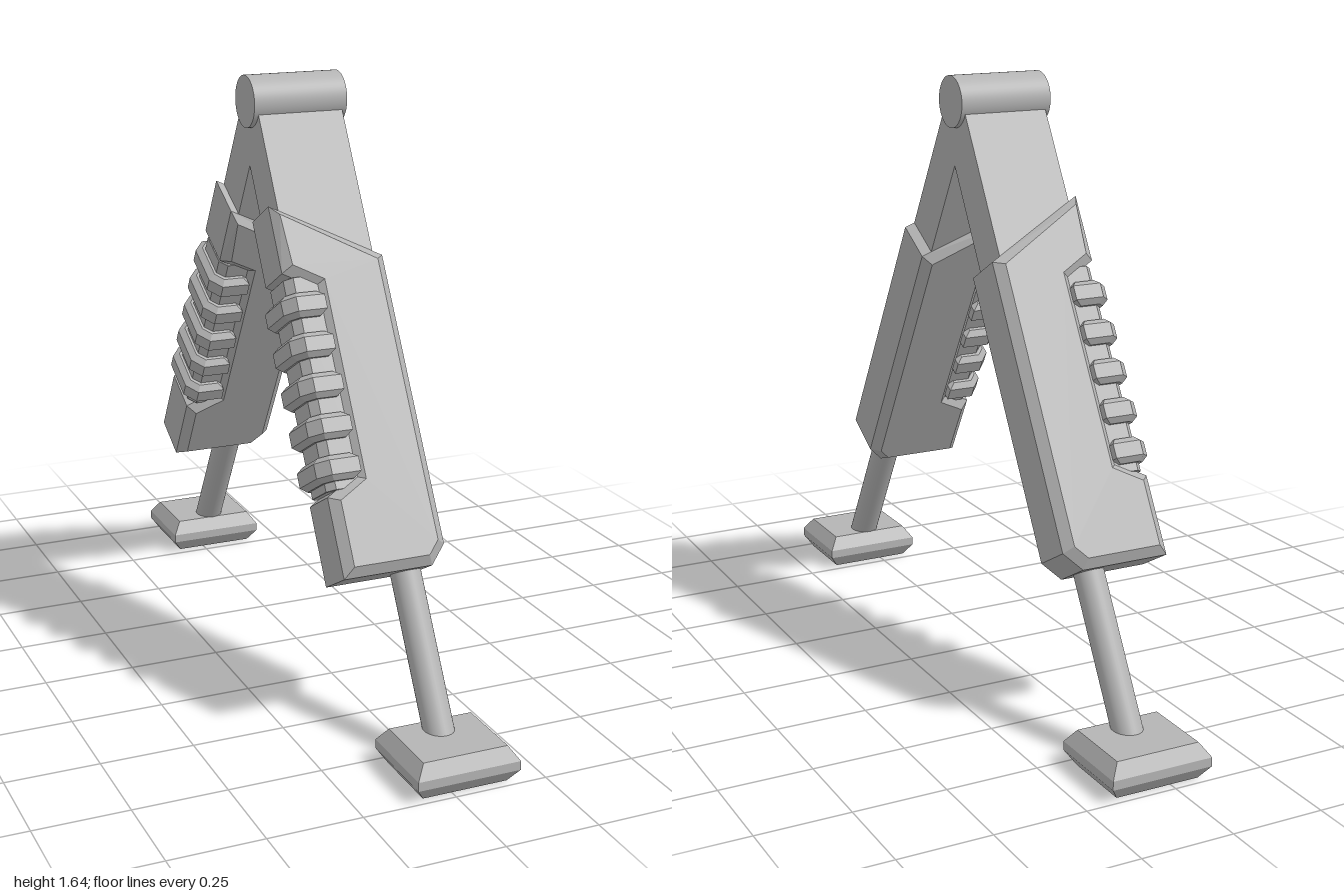
import * as THREE from 'three';

const grey = new THREE.MeshStandardMaterial({ color: 0xb4b4b4 });
grey.name = 'grey';

function add(parent, name, geometry, x = 0, y = 0, z = 0) {
  const mesh = new THREE.Mesh(geometry, grey);
  mesh.name = name;
  mesh.position.set(x, y, z);
  parent.add(mesh);
  return mesh;
}

// Prism centred on z, with chamfered ends that stay inside the outline
function chamferedPrism(points, thickness, chamferDepth, inset) {
  const shape = new THREE.Shape(points.map(([x, y]) => new THREE.Vector2(x, y)));
  const depth = thickness - 2 * chamferDepth;
  const geometry = new THREE.ExtrudeGeometry(shape, {
    depth,
    bevelEnabled: true,
    bevelThickness: chamferDepth,
    bevelSize: inset,
    bevelOffset: -inset,
    bevelSegments: 1,
  });
  return geometry.translate(0, 0, -depth / 2);
}

// Telescopic leg, hanging down local -y from the hinge
function createLeg() {
  const leg = new THREE.Group();

  add(leg, 'upperBar', new THREE.BoxGeometry(0.24, 0.57, 0.128), -0.015, -0.315, 0);

  // Sleeve with a slanted top and a notch along one edge
  const outline = [
    [-0.16, -0.307], [-0.16, -0.49], [-0.08, -0.535], [-0.08, -1.035], [-0.16, -1.08],
    [-0.16, -1.29], [0.085, -1.29], [0.13, -1.24], [0.13, -0.466],
  ];
  add(leg, 'sleeve', chamferedPrism(outline, 0.174, 0.023, 0.025));

  // Grip core and ribs set into the notch
  const core = [
    [-0.06, -0.072], [-0.06, 0.072], [-0.135, 0.072], [-0.155, 0.05], [-0.155, -0.05], [-0.135, -0.072],
  ];
  const coreGeometry = chamferedPrism(core, 0.56, 0.001, 0.001).rotateX(-Math.PI / 2);
  add(leg, 'gripCore', coreGeometry, 0, -0.785, 0);

  const rib = [
    [-0.068, -0.097], [-0.068, 0.097], [-0.148, 0.097], [-0.178, 0.062], [-0.178, -0.062], [-0.148, -0.097],
  ];
  const ribGeometry = chamferedPrism(rib, 0.066, 0.014, 0.016).rotateX(-Math.PI / 2);
  for (let i = 0; i < 5; i++) add(leg, 'gripRib', ribGeometry, 0, -0.582 - 0.107 * i, 0);

  // Sliding rod
  add(leg, 'rod', new THREE.CylinderGeometry(0.04, 0.04, 0.47, 32), 0.037, -1.485, 0);
  return leg;
}

export function createModel() {
  const model = new THREE.Group();
  model.name = 'bipod';

  const hinge = new THREE.CylinderGeometry(0.07, 0.07, 0.265, 48).rotateZ(Math.PI / 2);
  add(model, 'hinge', hinge, -0.0155, 1.57, 0);

  const footOutline = [[-0.141, -0.122], [0.141, -0.122], [0.141, 0.122], [-0.141, 0.122]];
  const footGeometry = chamferedPrism(footOutline, 0.096, 0.036, 0.025).rotateX(-Math.PI / 2);

  // Front and back legs splayed by 30 degrees, each with a flat foot
  for (const side of [1, -1]) {
    const leg = createLeg();
    leg.name = side > 0 ? 'frontLeg' : 'backLeg';
    leg.rotation.x = -side * Math.PI / 6;
    leg.position.set(0, 1.559, -0.019 * side);
    model.add(leg);
    add(model, side > 0 ? 'frontFoot' : 'backFoot', footGeometry, 0.037, 0.048, 0.878 * side);
  }
  return model;
}
